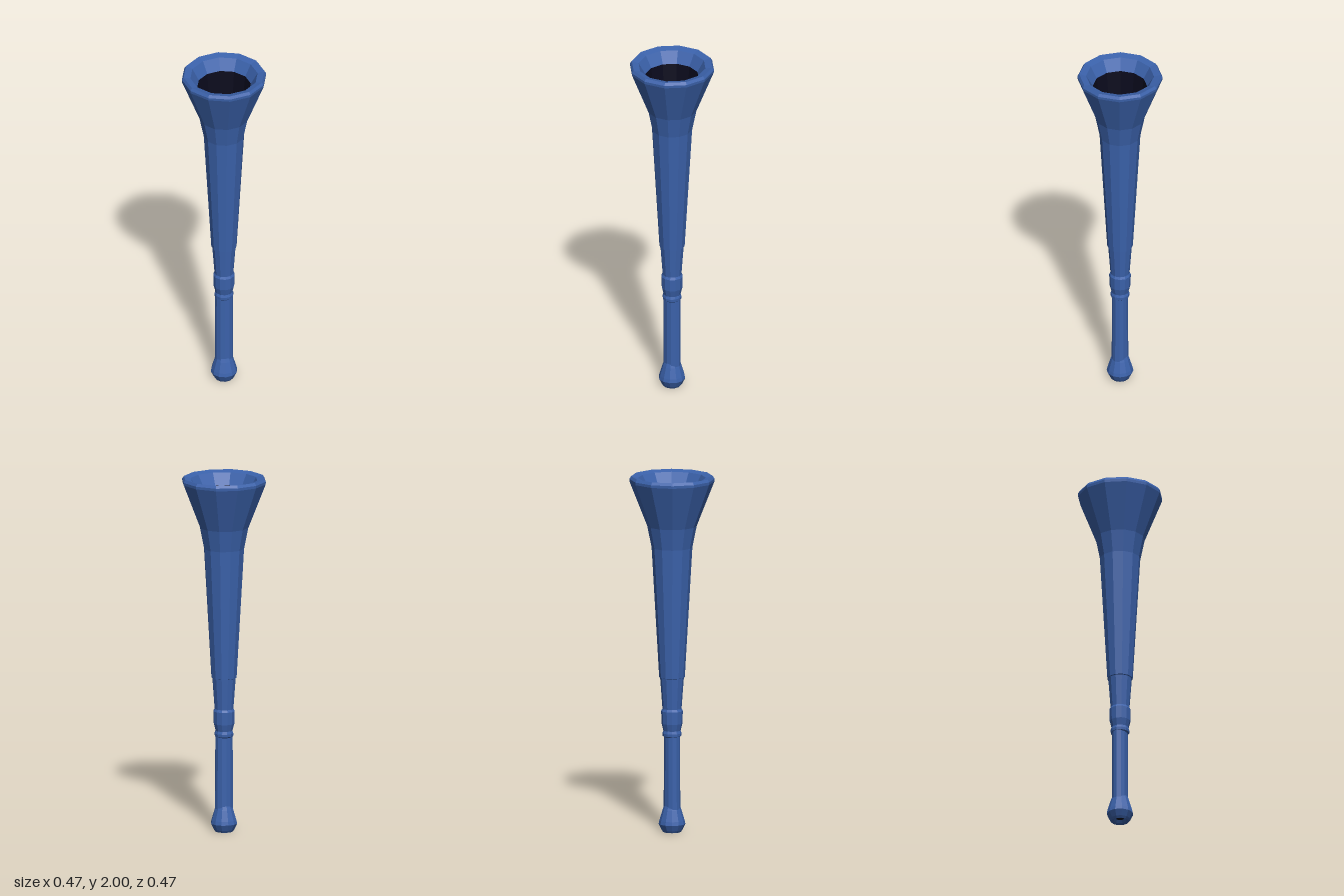
import * as THREE from 'three';

const SIDES = 12;

export function createModel() {
  const blue = new THREE.MeshStandardMaterial({ color: 0x3b62ab, flatShading: true });
  blue.name = 'blue plastic';
  const dark = new THREE.MeshStandardMaterial({ color: 0x0a0a1c, flatShading: true, side: THREE.DoubleSide });
  dark.name = 'dark bore';

  const horn = new THREE.Group();
  horn.name = 'stadiumHorn';

  // Turned part from [radius, height] pairs; ascending profiles face outward
  function turned(name, profile, material, stretchX = 1) {
    const points = profile.map(([r, y]) => new THREE.Vector2(r, y));
    const mesh = new THREE.Mesh(new THREE.LatheGeometry(points, SIDES), material);
    mesh.name = name;
    mesh.scale.x = stretchX;
    horn.add(mesh);
  }

  // Mouthpiece with a shallow cup underneath
  turned('mouthpiece', [
    [0.025, 0.02], [0.035, 0.006], [0.05, 0], [0.058, 0.012], [0.074, 0.045],
    [0.07, 0.065], [0.052, 0.125], [0.043, 0.15],
  ], blue);

  // Slightly oval stem
  turned('stem', [[0.044, 0.13], [0.043, 0.54]], blue, 1.17);

  // Stepped collar joining the stem to the horn
  turned('collar', [
    [0.04, 0.53], [0.052, 0.54], [0.053, 0.555], [0.048, 0.57], [0.053, 0.59],
    [0.058, 0.61], [0.06, 0.68], [0.052, 0.695],
  ], blue);

  // Lower socket and long tapering body
  turned('socket', [[0.052, 0.68], [0.066, 0.87]], blue);
  turned('body', [[0.06, 0.865], [0.071, 0.87], [0.113, 1.6]], blue);

  // Flared bell, rolled over its rim and down inside
  turned('bell', [
    [0.113, 1.6], [0.137, 1.72], [0.235, 1.97], [0.236, 1.985], [0.226, 2],
    [0.188, 1.99], [0.15, 1.925],
  ], blue);

  // Dark inner bore
  turned('bore', [
    [0.15, 1.925], [0.125, 1.72], [0.1, 1.6], [0.056, 0.87], [0.036, 0.55],
    [0.03, 0.15], [0.025, 0.02], [0, 0.02],
  ], dark);

  return horn;
}
